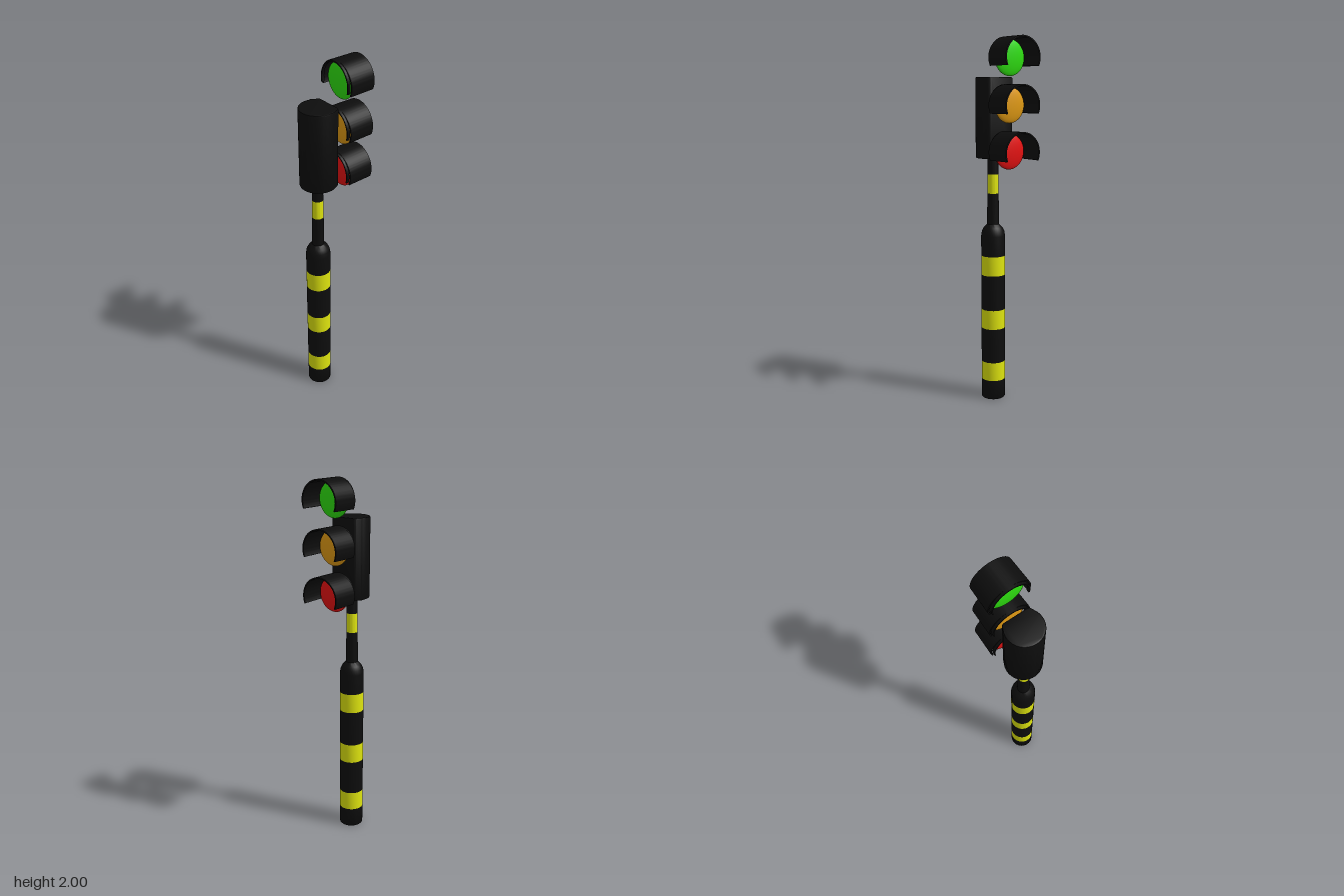
import * as THREE from 'three';
import { toCreasedNormals } from 'three/addons/utils/BufferGeometryUtils.js';

const paint = (name, color) => {
  const m = new THREE.MeshStandardMaterial({ color });
  m.name = name;
  return m;
};

export function createModel() {
  const model = new THREE.Group();
  model.name = 'trafficLight';
  const black = paint('black', 0x0d0d0d);
  const yellow = paint('yellow', 0xdfe50f);
  const add = (name, geometry, material, x = 0, y = 0) => {
    const mesh = new THREE.Mesh(geometry, material);
    mesh.name = name;
    mesh.position.set(x, y, 0);
    model.add(mesh);
    return mesh;
  };

  // Striped pole: stacked lathe sections, each a list of [radius, height]
  const R = 0.066;
  const sections = [
    [black, [[0, 0], [0.062, 0], [R, 0.005], [R, 0.11]]],
    [yellow, [[R, 0.11], [R, 0.215]]],
    [black, [[R, 0.215], [R, 0.41]]],
    [yellow, [[R, 0.41], [R, 0.518]]],
    [black, [[R, 0.518], [R, 0.715]]],
    [yellow, [[R, 0.715], [R, 0.823]]],
    [black, [[R, 0.823], [R, 0.935], [0.062, 0.96], [0.052, 0.98], [0.036, 0.997], [0.033, 1.0], [0.031, 1.17]]],
    [yellow, [[0.031, 1.17], [0.03, 1.275]]],
    [black, [[0.03, 1.275], [0.028, 1.38]]],
  ];
  for (const [material, profile] of sections) {
    const points = profile.map(([r, y]) => new THREE.Vector2(r, y));
    const geometry = toCreasedNormals(new THREE.LatheGeometry(points, 32), 0.7);
    add(material === yellow ? 'poleStripe' : 'poleSection', geometry, material, -0.09);
  }

  // Housing: round back, sides drawing in to a flat front
  const plan = new THREE.Shape();
  plan.moveTo(-0.012, -0.062);
  plan.lineTo(-0.012, 0.062);
  plan.quadraticCurveTo(-0.013, 0.075, -0.022, 0.079);
  plan.lineTo(-0.05, 0.091);
  plan.absarc(-0.083, 0, 0.097, 1.22, Math.PI * 2 - 1.22, false);
  plan.lineTo(-0.022, -0.079);
  plan.quadraticCurveTo(-0.013, -0.075, -0.012, -0.062);
  const housing = new THREE.ExtrudeGeometry(plan, {
    depth: 0.418, curveSegments: 24, bevelEnabled: true,
    bevelSize: 0.006, bevelThickness: 0.006, bevelOffset: -0.006, bevelSegments: 2,
  });
  housing.rotateX(-Math.PI / 2);
  add('housing', toCreasedNormals(housing, 0.5), black, 0, 1.371);

  // Open-bottomed hood running along x; its width changes from w0 to w1
  const hood = (x0, x1, w0, w1, drop) => {
    const outer = 0.108, inner = 0.101, a = Math.asin(drop / outer);
    const arch = new THREE.Shape();
    arch.absarc(0, 0, outer, -a, Math.PI + a, false);
    arch.absarc(0, 0, inner, Math.PI + a, -a, true);
    const g = new THREE.ExtrudeGeometry(arch, { depth: x1 - x0, curveSegments: 32, bevelEnabled: false });
    const p = g.attributes.position;
    for (let i = 0; i < p.count; i++) {
      const t = p.getZ(i) / (x1 - x0);
      p.setX(i, p.getX(i) * (w0 + (w1 - w0) * t) / outer);
    }
    g.rotateY(Math.PI / 2);
    g.translate(x0, 0, 0);
    return toCreasedNormals(g, 0.6);
  };
  const visor = hood(0.033, 0.178, 0.115, 0.111, 0.043);
  const rim = hood(0.019, 0.035, 0.103, 0.103, 0.03);

  // Lens: thin round bulging disc
  const lens = new THREE.SphereGeometry(0.094, 40, 24);
  lens.scale(0.22, 1, 1);

  const lamps = [
    ['red', 0xe61212, 1.406],
    ['amber', 0xe09a14, 1.649],
    ['green', 0x2ede10, 1.892],
  ];
  for (const [name, color, y] of lamps) {
    add(name + 'Visor', visor, black, 0, y);
    add(name + 'VisorRim', rim, black, 0, y);
    add(name + 'Lens', lens, paint(name, color), 0.06, y);
  }
  return model;
}
